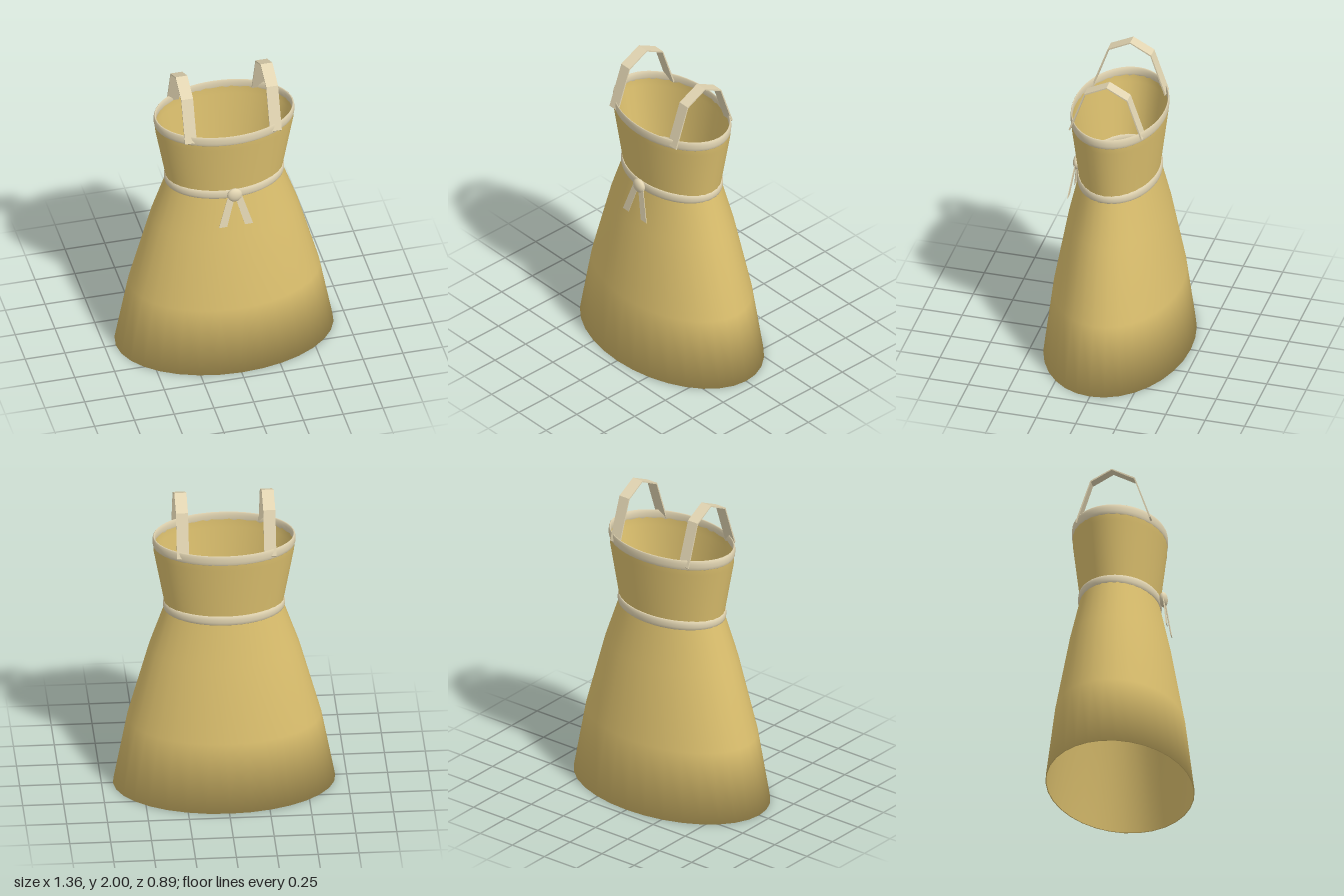
import * as THREE from 'three';

const OVAL = 0.658; // depth of the garment relative to its width
const V2 = (p) => new THREE.Vector2(p[0], p[1]);

function addMesh(parent, name, geometry, material) {
  const mesh = new THREE.Mesh(geometry, material);
  mesh.name = name;
  parent.add(mesh);
  return mesh;
}

// Oval trim with a slim, rounded section
function bandGeometry(radius, y, halfThick, halfHeight, oval) {
  const points = [];
  for (let i = 0; i <= 10; i++) {
    const a = (i / 10) * Math.PI * 2 - Math.PI / 2;
    points.push(new THREE.Vector2(radius + Math.cos(a) * halfThick, y + Math.sin(a) * halfHeight));
  }
  return new THREE.LatheGeometry(points, 48).scale(1, 1, oval);
}

// Flat ribbon swept along a side path of [z, y] points
function strapGeometry(path, width, thickness) {
  const inner = path.map(([z, y]) => [z * (1 - thickness / 0.24), y - thickness]).reverse();
  const shape = new THREE.Shape([...path, ...inner].map(V2));
  const geometry = new THREE.ExtrudeGeometry(shape, { depth: width, bevelEnabled: false });
  return geometry.translate(0, 0, -width / 2).rotateY(-Math.PI / 2);
}

export function createModel() {
  const model = new THREE.Group();
  model.name = 'dress';
  const cloth = new THREE.MeshStandardMaterial({ color: 0xdcc06e });
  cloth.name = 'golden cloth';
  const trim = new THREE.MeshStandardMaterial({ color: 0xe2d5b2 });
  trim.name = 'cream trim';

  // Skirt and bodice: outer wall, then the lining just inside it
  const profile = [
    [0.68, 0], [0.595, 0.45], [0.46, 0.94], [0.37, 1.2],
    [0.367, 1.26], [0.43, 1.6], [0.433, 1.68],
  ];
  const outer = new THREE.LatheGeometry(profile.map(V2), 32).scale(1, 1, OVAL);
  // Turn the hem normals under, so the cloth rolls into its edge
  const normal = outer.attributes.normal;
  const n = new THREE.Vector3();
  for (let i = 0; i < normal.count; i += profile.length) {
    n.fromBufferAttribute(normal, i);
    n.y -= 1;
    n.normalize();
    normal.setXYZ(i, n.x, n.y, n.z);
  }
  addMesh(model, 'dressBody', outer, cloth);
  const inside = profile.map(([r, y]) => V2([r - 0.008, y])).reverse();
  addMesh(model, 'lining', new THREE.LatheGeometry(inside, 32).scale(1, 1, OVAL), cloth);
  const hem = [[0.672, 0], [0.68, 0]].map(V2);
  addMesh(model, 'hemEdge', new THREE.LatheGeometry(hem, 32).scale(1, 1, OVAL), cloth);

  // Neckline trim and waist sash
  addMesh(model, 'necklineBand', bandGeometry(0.429, 1.669, 0.009, 0.033, 0.66), trim);
  addMesh(model, 'waistSash', bandGeometry(0.361, 1.23, 0.013, 0.031, 0.675), trim);

  // Shoulder straps
  const path = [[0.24, 1.66], [0.143, 1.93], [0, 2], [-0.132, 1.93], [-0.225, 1.66]];
  for (const side of [-1, 1]) {
    const strap = addMesh(model, side > 0 ? 'leftStrap' : 'rightStrap', strapGeometry(path, 0.074, 0.008), trim);
    strap.position.x = side * 0.267;
  }

  // Bow: knot and two hanging tails
  const knot = addMesh(model, 'bowKnot', new THREE.SphereGeometry(0.047, 24, 16), trim);
  knot.scale.z = 0.55;
  knot.position.set(0, 1.237, 0.269);
  for (const side of [-1, 1]) {
    const corners = [[0, 0], [0.045, 0], [0.107, -0.205], [0.056, -0.205]];
    const shape = new THREE.Shape(corners.map(([x, y]) => V2([x * side, y])));
    const tail = addMesh(model, side > 0 ? 'leftBowTail' : 'rightBowTail',
      new THREE.ExtrudeGeometry(shape, { depth: 0.004, bevelEnabled: false }), trim);
    tail.position.set(0, 1.23, 0.273);
    tail.rotation.x = -0.14;
  }
  return model;
}
